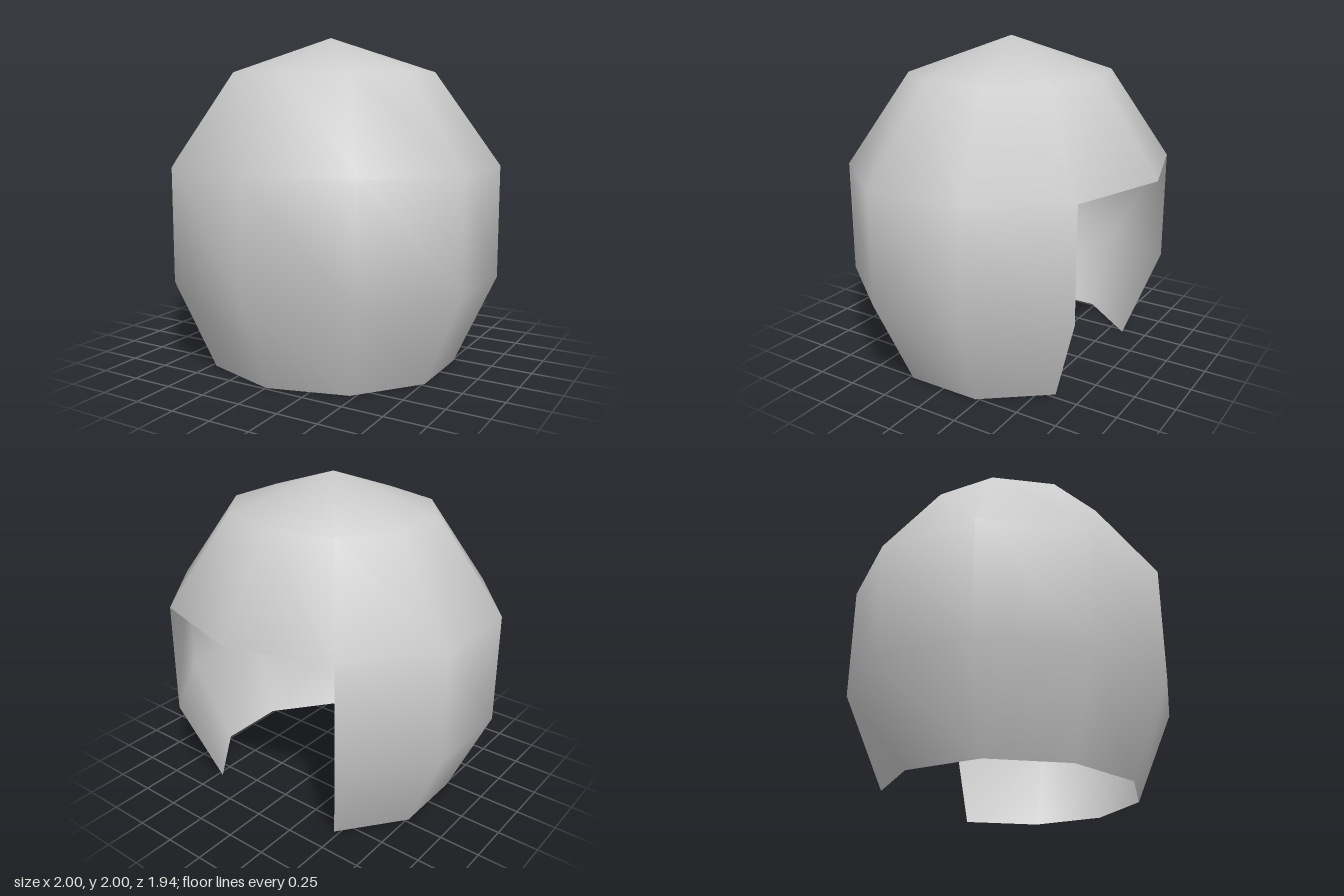
import * as THREE from 'three';

const SEGMENTS = 10;
const RADIUS_X = 1 / Math.sin(Math.PI * 0.4); // puts the flat sides at x = +-1
const RADIUS_Z = 0.97;

export function createModel() {
  const group = new THREE.Group();

  // Half profile of the shell, rim to crown, on a unit radius
  const profile = [
    [0.76, 0], [1, 0.555], [1, 1.237], [0.618, 1.79], [0, 2],
  ].map(([r, y]) => new THREE.Vector2(r, y));
  const rows = profile.length;
  const geometry = new THREE.LatheGeometry(profile, SEGMENTS);
  geometry.scale(RADIUS_X, 1, RADIUS_Z);

  // Rebuild the faces, leaving a two-panel opening at the back below the dome
  const index = [];
  for (let i = 0; i < SEGMENTS; i++) {
    const isBack = i === 4 || i === 5;
    for (let j = 0; j < rows - 1; j++) {
      if (isBack && j < 2) continue;
      const a = i * rows + j, b = a + rows;
      index.push(a, b, a + 1);
      if (j < rows - 2) index.push(b + 1, a + 1, b);
    }
  }
  geometry.setIndex(index);

  // Smooth the crown point
  for (let i = 0; i <= SEGMENTS; i++) {
    geometry.attributes.normal.setXYZ(i * rows + rows - 1, 0, 1, 0);
  }

  const shell = new THREE.Mesh(
    geometry,
    new THREE.MeshStandardMaterial({ color: 0xcccccc, side: THREE.DoubleSide }),
  );
  shell.name = 'openBackShell';
  group.add(shell);
  return group;
}
